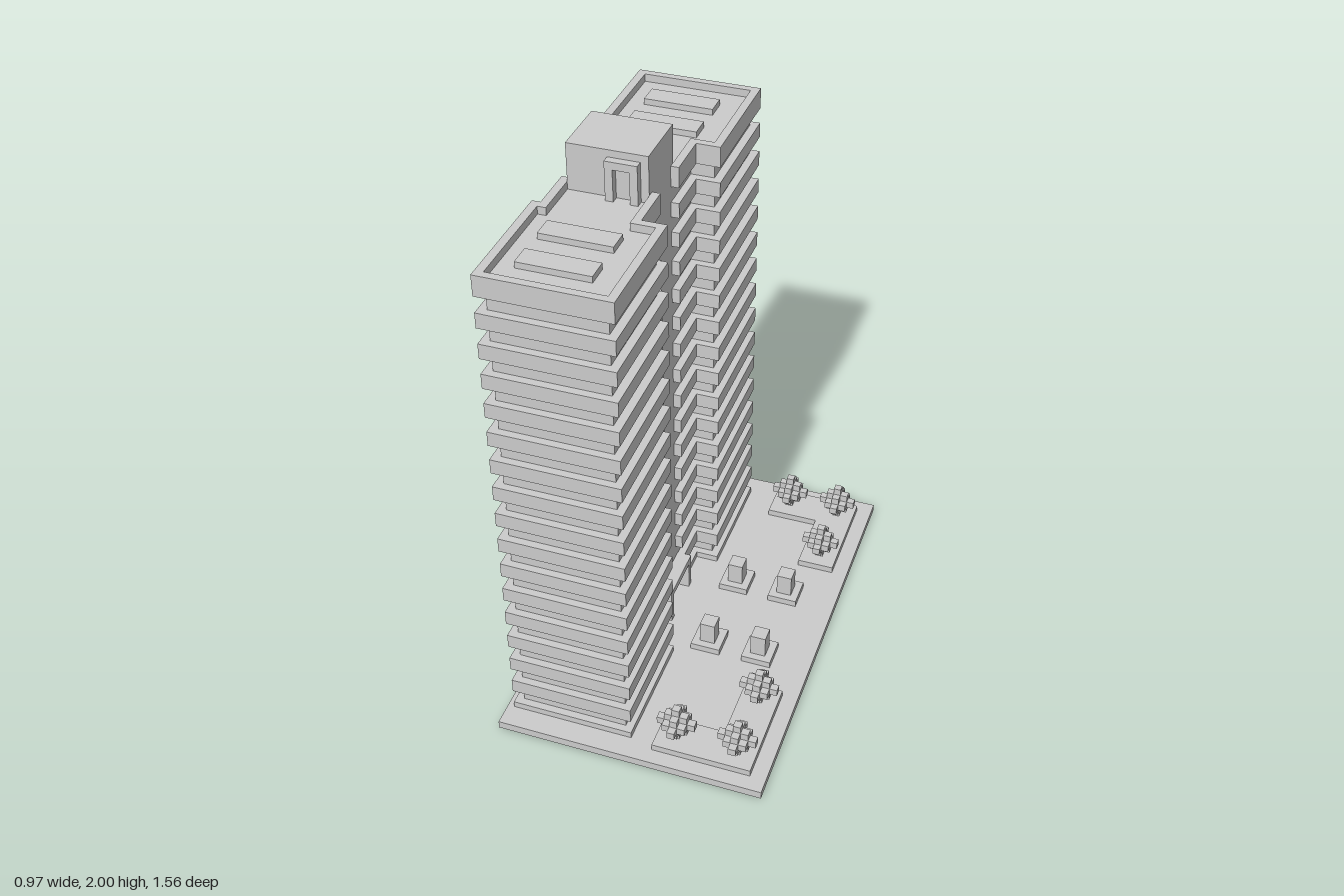
import * as THREE from 'three';

const material = new THREE.MeshStandardMaterial({ color: 0xcccccc, flatShading: true });

function add(parent, name, geometry) {
  const mesh = new THREE.Mesh(geometry, material);
  mesh.name = name;
  parent.add(mesh);
  return mesh;
}

// Box given by its limits on each axis
function block(parent, name, x0, x1, y0, y1, z0, z1) {
  const g = new THREE.BoxGeometry(x1 - x0, y1 - y0, z1 - z0);
  g.translate((x0 + x1) / 2, (y0 + y1) / 2, (z0 + z1) / 2);
  return add(parent, name, g);
}

// Upright prism over a floor plan of [x, z] points; side = -1 mirrors it in z
function prism(parent, name, plan, y0, y1, side) {
  const shape = new THREE.Shape(plan.map(([x, z]) => new THREE.Vector2(x, -z * side)));
  const g = new THREE.ExtrudeGeometry(shape, { depth: y1 - y0, bevelEnabled: false });
  g.rotateX(-Math.PI / 2).translate(0, y0, 0);
  return add(parent, name, g);
}

// Floor plans: outer balcony line and recessed wall line
const outer = [[-0.1, 0.085], [-0.1, 0.253], [-0.016, 0.253], [-0.016, 0.695],
  [-0.461, 0.695], [-0.461, 0.253], [-0.432, 0.253], [-0.432, 0.085]];
const inner = [[-0.128, 0.085], [-0.128, 0.28], [-0.045, 0.28], [-0.045, 0.668],
  [-0.432, 0.668], [-0.432, 0.28], [-0.403, 0.28], [-0.403, 0.085]];
const walls = inner.map(([x, z]) => [x, Math.max(z, 0.11)]);
const parapet = [...outer, ...[...inner].reverse()];

const GROUND = 0.03, ROOF = 1.835, STEP = 0.1117;

function createWing(side) {
  const wing = new THREE.Group();
  wing.name = side > 0 ? 'frontWing' : 'backWing';
  prism(wing, 'walls', walls, GROUND, 1.81, side);
  // Storey bands, the lowest one half sunk in the ground
  for (let i = 0; i < 16; i++) {
    const top = 0.0545 + i * STEP;
    prism(wing, 'storeyBand', outer, Math.max(GROUND, top - 0.055), top, side);
  }
  prism(wing, 'roofSlab', outer, 1.788, ROOF, side);
  prism(wing, 'parapet', parapet, ROOF, 1.863, side);
  for (const z of [0.375, 0.543]) {
    block(wing, 'roofVent', -0.375, -0.128, ROOF, 1.857, side * z - 0.039, side * z + 0.039);
  }
  // Door frame of the roof exit
  const z0 = Math.min(side * 0.11, side * 0.138), z1 = z0 + 0.028;
  block(wing, 'roofDoorPost', -0.265, -0.238, ROOF, 1.948, z0, z1);
  block(wing, 'roofDoorPost', -0.182, -0.155, ROOF, 1.948, z0, z1);
  block(wing, 'roofDoorLintel', -0.265, -0.155, 1.948, 1.975, z0, z1);
  return wing;
}

// Blocky shrub: three crossed plates and three spikes
function createTree(x, z) {
  const tree = new THREE.Group();
  tree.name = 'tree';
  const u = 0.0275;
  for (let axis = 0; axis < 3; axis++) {
    const plate = [3 * u, 3 * u, 3 * u], spike = [u, u, u];
    plate[axis] = u;
    spike[axis] = 5 * u;
    add(tree, 'foliage', new THREE.BoxGeometry(...plate));
    add(tree, axis === 1 ? 'trunk' : 'branch', new THREE.BoxGeometry(...spike));
  }
  tree.position.set(x, 0.055 + 2.5 * u, z);
  return tree;
}

function createGarden(side) {
  const garden = new THREE.Group();
  garden.name = side > 0 ? 'frontGarden' : 'backGarden';
  const left = side > 0 ? 0.07 : 0.095;
  prism(garden, 'lawn', [[left, 0.722], [0.428, 0.722], [0.428, 0.337], [0.291, 0.337],
    [0.291, 0.583], [left, 0.583]], GROUND, 0.055, side);
  for (const [x, z] of [[left + 0.069, 0.652], [0.36, 0.652], [0.36, 0.402]]) {
    garden.add(createTree(x, z * side));
  }
  // Square pillars on pads
  for (const x of [0.095, 0.29]) {
    const z = side * 0.167;
    block(garden, 'pillarPad', x - 0.055, x + 0.055, GROUND, 0.055, z - 0.055, z + 0.055);
    block(garden, 'pillar', x - 0.028, x + 0.028, 0.055, 0.14, z - 0.028, z + 0.028);
  }
  return garden;
}

export function createModel() {
  const model = new THREE.Group();
  model.name = 'towerBlock';
  block(model, 'basePlate', -0.485, 0.485, 0, GROUND, -0.778, 0.778);
  block(model, 'stairCore', -0.403, -0.128, GROUND, 2, -0.11, 0.11);
  // Entrance portal
  for (const s of [-1, 1]) {
    block(model, 'entrancePost', -0.128, -0.074, GROUND, 0.143, s * 0.0975 - 0.0135, s * 0.0975 + 0.0135);
    model.add(createWing(s), createGarden(s));
  }
  block(model, 'entranceLintel', -0.128, -0.074, 0.143, 0.17, -0.111, 0.111);
  return model;
}
